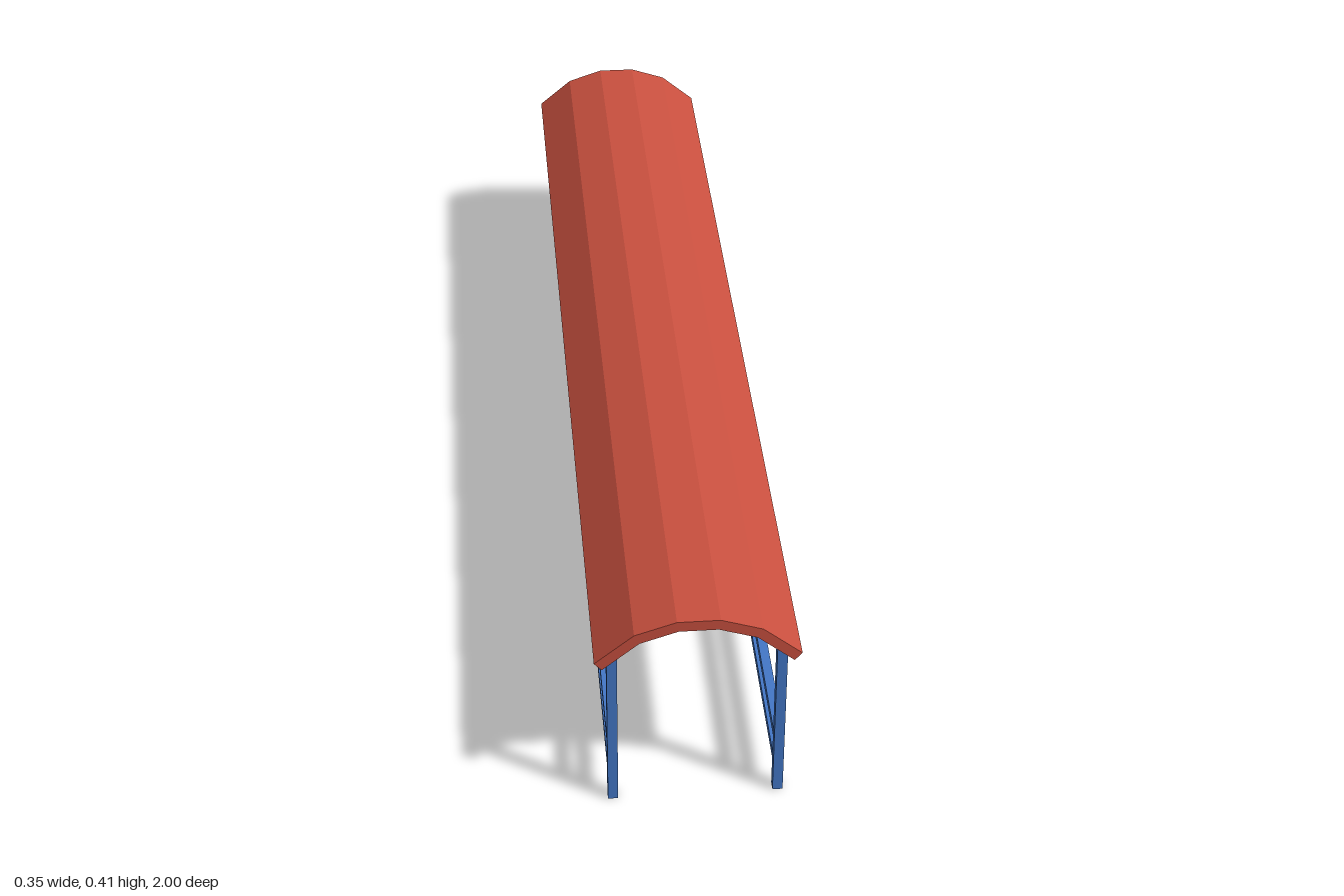
import * as THREE from 'three';

export function createModel() {
  const group = new THREE.Group();
  const roofRed = new THREE.MeshStandardMaterial({ color: 0xc9503f });
  const frameBlue = new THREE.MeshStandardMaterial({ color: 0x4478c8 });
  roofRed.name = 'roofRed';
  frameBlue.name = 'frameBlue';

  const postX = 0.146, postZ = 0.973, post = 0.018, rail = 0.017;

  function bar(name, w, h, d, x, y, z) {
    const mesh = new THREE.Mesh(new THREE.BoxGeometry(w, h, d), frameBlue);
    mesh.name = name;
    mesh.position.set(x, y, z);
    group.add(mesh);
  }

  // Faceted arched roof: half outlines mirrored into a closed section
  const outer = [[0.037, 0.411], [0.109, 0.387], [0.177, 0.33]];
  const inner = [[0.164, 0.315], [0.1, 0.369], [0.034, 0.391]];
  const half = [...outer, ...inner];
  const mirrored = half.map(([x, y]) => [-x, y]).reverse();
  const section = new THREE.Shape([...half, ...mirrored].map(([x, y]) => new THREE.Vector2(x, y)));
  const roofGeometry = new THREE.ExtrudeGeometry(section, { depth: 2, bevelEnabled: false });
  roofGeometry.translate(0, 0, -1);
  const roof = new THREE.Mesh(roofGeometry, roofRed);
  roof.name = 'roof';
  group.add(roof);

  // Corner posts, reaching just into the roof
  for (const sx of [-1, 1]) {
    for (const sz of [-1, 1]) {
      bar('cornerPost', post, 0.336, post, sx * postX, 0.168, sz * postZ);
    }
  }

  // Two rails on each long side and across the back; the front stays open
  for (const y of [0.065, 0.118]) {
    for (const sx of [-1, 1]) {
      bar('sideRail', rail, rail, 2 * postZ - post, sx * postX, y, 0);
    }
    bar('backRail', 2 * postX - post, rail, rail, 0, y, -postZ);
  }

  return group;
}
